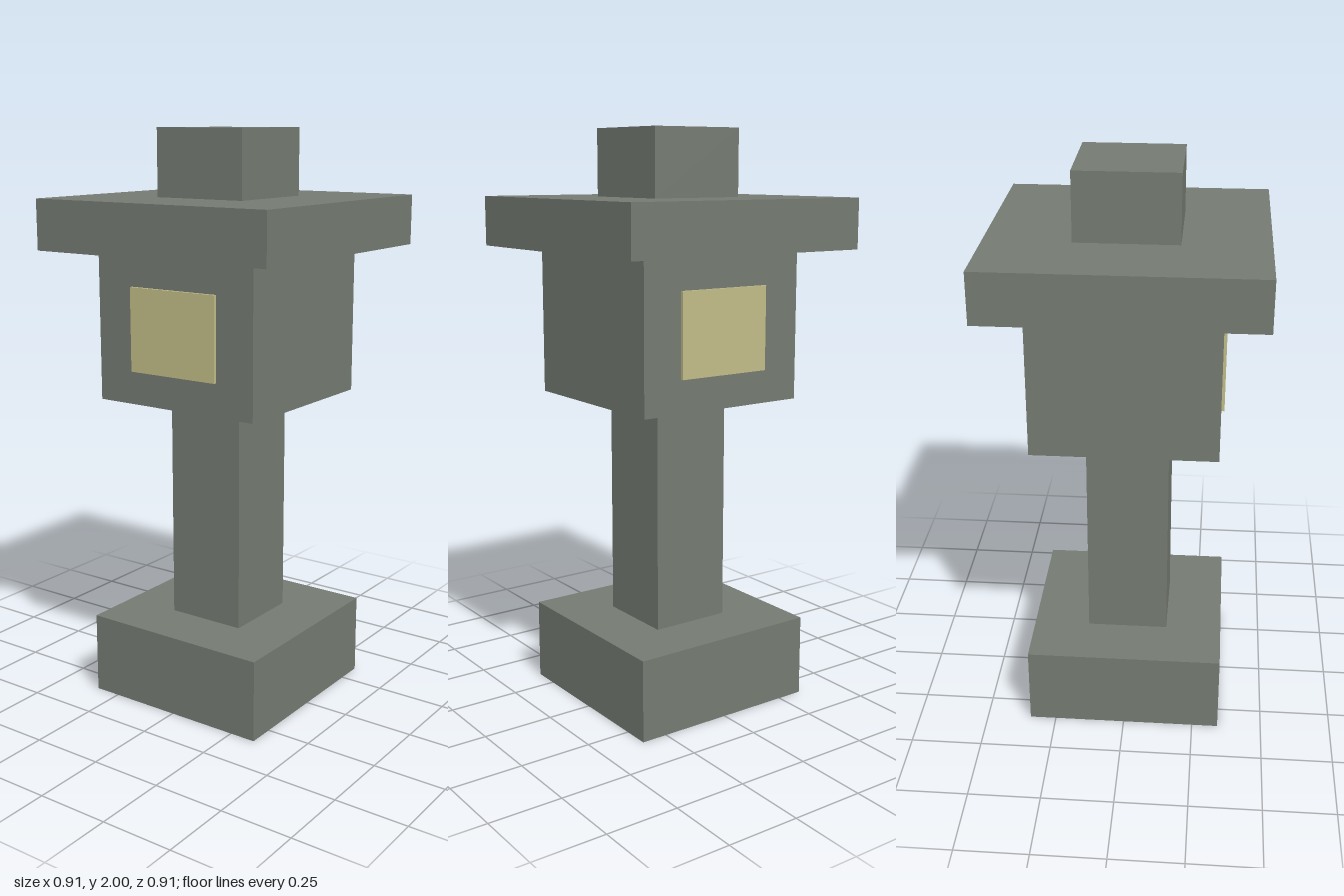
import * as THREE from 'three';

// The model is laid out on a grid of 35 units in height.
const U = 2 / 35;

const stone = new THREE.MeshStandardMaterial({ color: 0x747a71, side: THREE.DoubleSide });
stone.name = 'stone grey';
const glow = new THREE.MeshStandardMaterial({ color: 0xc0bc87, side: THREE.DoubleSide });
glow.name = 'window yellow';

// Box without its underside, standing at height y (all sizes in grid units).
function openBox(name, material, width, height, depth, y) {
  const geometry = new THREE.BoxGeometry(width * U, height * U, depth * U);
  const index = Array.from(geometry.index.array);
  index.splice(18, 6); // the bottom face
  geometry.setIndex(index);
  geometry.clearGroups();
  const mesh = new THREE.Mesh(geometry, material);
  mesh.name = name;
  mesh.position.y = (y + height / 2) * U;
  return mesh;
}

export function createModel() {
  const group = new THREE.Group();
  group.name = 'stoneLantern';
  group.add(
    openBox('base', stone, 12, 5, 12, 0),
    openBox('post', stone, 5, 14, 5, 5),
    openBox('lanternHousing', stone, 11, 9, 11, 19),
    // Runs through the housing and shows as a window at front and back
    openBox('windowLight', glow, 6, 5, 11.4, 21),
    openBox('roof', stone, 16, 3, 16, 28),
    openBox('cap', stone, 6, 4, 6, 31),
  );
  return group;
}
